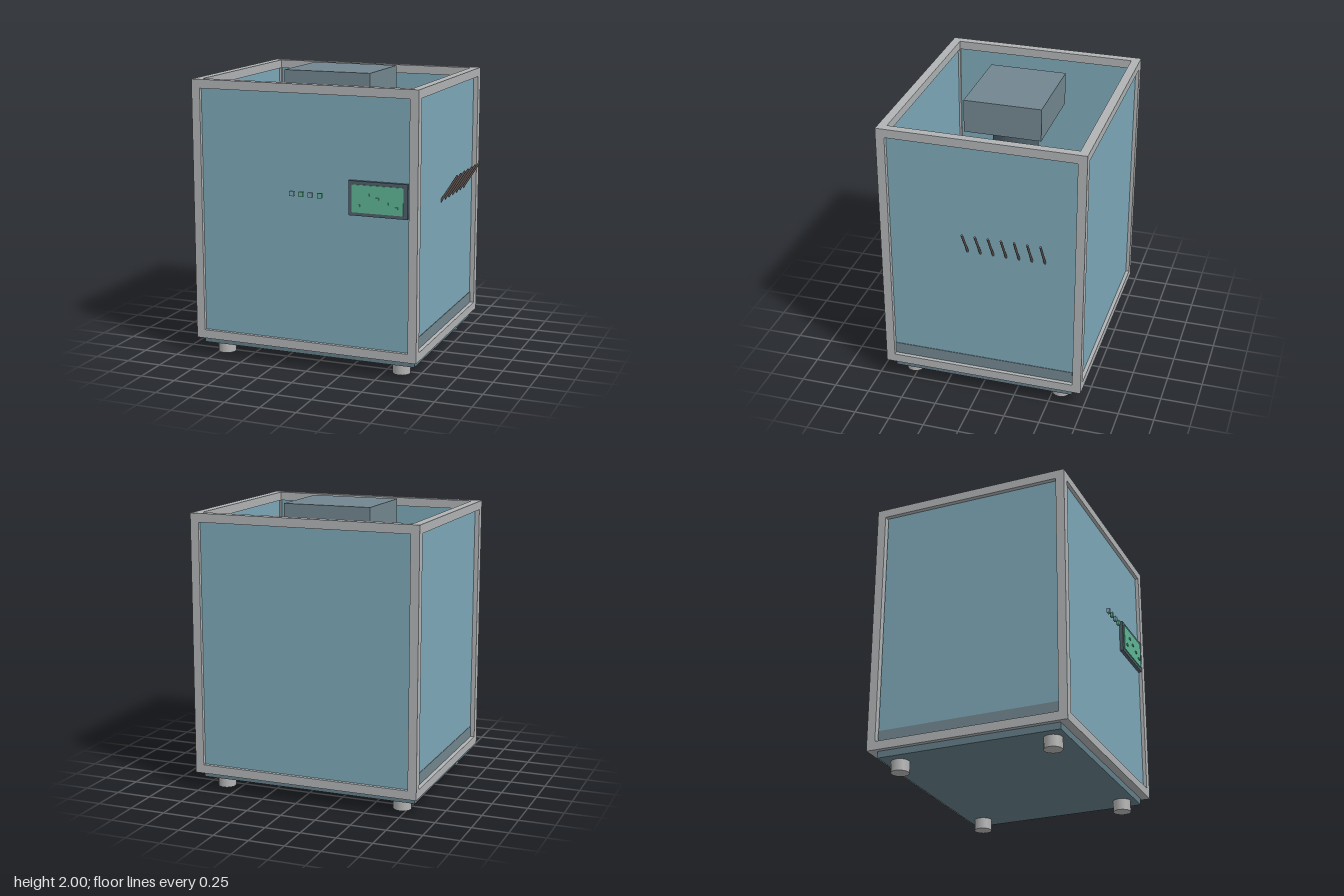
import * as THREE from 'three';

const mat = (name, color) => {
  const m = new THREE.MeshStandardMaterial({ color });
  m.name = name;
  return m;
};

export function createModel() {
  const root = new THREE.Group();
  root.name = 'cabinetMachine';

  const grey = mat('frame grey', 0xb0b3b4);
  const blue = mat('panel blue', 0x7da8b8);
  const slate = mat('base slate', 0x657f8a);
  const dullSlate = mat('housing slate', 0x72868f);
  const dark = mat('dark slate', 0x4f5f69);
  const green = mat('signal green', 0x5fb596);
  const tan = mat('brass tan', 0xc0a468);
  const brown = mat('rod brown', 0x675c58);
  const footGrey = mat('foot grey', 0xb4b4b4);

  const add = (name, geometry, material, x, y, z, parent = root) => {
    const m = new THREE.Mesh(geometry, material);
    m.name = name;
    m.position.set(x, y, z);
    parent.add(m);
    return m;
  };
  // Box given by its limits on each axis
  const box = (name, material, [x0, x1], [y0, y1], [z0, z1], parent = root) =>
    add(name, new THREE.BoxGeometry(x1 - x0, y1 - y0, z1 - z0), material,
      (x0 + x1) / 2, (y0 + y1) / 2, (z0 + z1) / 2, parent);
  const group = (name) => {
    const g = new THREE.Group();
    g.name = name;
    root.add(g);
    return g;
  };

  // Outer frame: twelve square beams
  const X = [-0.863, 0.77], Y = [0.127, 1.962], Z = [-0.733, 0.69], t = 0.061;
  const ends = ([a, b]) => [[a, a + t], [b - t, b]];
  const inner = ([a, b]) => [a + t, b - t];
  const frame = group('frame');
  for (const x of ends(X)) for (const z of ends(Z)) box('framePost', grey, x, Y, z, frame);
  for (const y of ends(Y)) {
    for (const z of ends(Z)) box('frameCrossBeam', grey, inner(X), y, z, frame);
    for (const x of ends(X)) box('frameSideBeam', grey, x, y, inner(Z), frame);
  }

  // Recessed wall panels
  box('frontPanel', blue, [-0.82, 0.727], [0.16, 1.93], [0.645, 0.665]);
  box('backPanel', blue, [-0.82, 0.727], [0.16, 1.93], [-0.708, -0.688]);
  box('rightPanel', blue, [-0.831, -0.815], [0.27, 1.93], [-0.665, 0.635]);
  box('leftPanel', blue, [0.722, 0.738], [0.27, 1.93], [-0.665, 0.635]);

  // Base with side skirts and floor plate
  box('base', slate, [-0.83, 0.738], [0.08, 0.27], [-0.665, 0.63]);
  box('rightSkirt', dullSlate, [-0.834, -0.83], [0.18, 0.27], [-0.665, 0.63]);
  box('leftSkirt', dullSlate, [0.738, 0.742], [0.18, 0.27], [-0.665, 0.63]);
  box('floorPlate', dark, [-0.763, 0.666], [0.27, 0.3], [-0.61, 0.56]);

  // Feet
  const footGeo = new THREE.CylinderGeometry(0.063, 0.063, 0.08, 16);
  for (const x of [-0.708, 0.614]) for (const z of [-0.558, 0.53]) add('foot', footGeo, footGrey, x, 0.04, z);

  // Drum: dark wall, pale lining, disc and ring of pins
  const cx = -0.047, cz = -0.025;
  const tube = (ri, ro, h) => new THREE.LatheGeometry(
    [[ri, 0], [ro, 0], [ro, 0], [ro, h], [ro, h], [ri, h], [ri, h], [ri, 0]]
      .map(([r, y]) => new THREE.Vector2(r, y)), 48);
  add('drumWall', tube(0.36, 0.41, 0.5), dark, cx, 0.3, cz);
  add('drumLining', tube(0.33, 0.36, 0.49), grey, cx, 0.3, cz);
  add('drumDisc', new THREE.CylinderGeometry(0.335, 0.335, 0.4, 48), blue, cx, 0.5, cz);
  const pinGeo = new THREE.CylinderGeometry(0.018, 0.018, 0.06, 12);
  for (let i = 0; i < 14; i++) {
    const a = (i / 14) * Math.PI * 2;
    add('drumPin', pinGeo, green, cx + 0.33 * Math.cos(a), 0.8, cz + 0.33 * Math.sin(a));
  }

  // Upper housing on its neck, with brass side strips
  box('housing', dullSlate, [-0.365, 0.271], [1.768, 2], [-0.296, 0.248]);
  add('neck', new THREE.CylinderGeometry(0.16, 0.16, 1.1, 24), dark, cx, 1.22, cz);
  for (const s of [-1, 1]) {
    const x = cx + s * 0.322;
    box('brassStrip', tan, [x - 0.006, x + 0.006], [0.85, 1.1], [-0.24, 0.19]);
  }

  // Row of terminals along the inside front
  const terminalGeo = new THREE.CylinderGeometry(0.019, 0.019, 0.05, 8);
  for (let i = 0; i < 11; i++) {
    add('terminal', terminalGeo, i % 3 ? green : tan, -0.708 + i * 0.1338, 0.31, 0.55);
  }

  // Front display
  box('displayBezel', dark, [0.285, 0.7], [1.105, 1.34], [0.66, 0.69]);
  box('displayScreen', green, [0.311, 0.672], [1.128, 1.316], [0.69, 0.696]);
  [1.177, 1.253, 1.23, 1.203, 1.177].forEach((y, i) => {
    const x = 0.358 + i * 0.0665;
    box('displayMark', green, [x - 0.012, x + 0.012], [y - 0.007, y + 0.007], [0.696, 0.703]);
  });

  // Front buttons
  [-0.107, -0.041, 0.026, 0.094].forEach((x, i) =>
    box('button', i % 2 ? green : blue, [x - 0.016, x + 0.016], [1.212, 1.245], [0.712, 0.733]));

  // Slanted rods through the left side
  const lo = new THREE.Vector2(0.682, 1.032), hi = new THREE.Vector2(0.852, 1.302);
  const rodGeo = new THREE.CylinderGeometry(0.008, 0.008, lo.distanceTo(hi), 10);
  for (let i = 0; i < 7; i++) {
    const rod = add('sideRod', rodGeo, brown, (lo.x + hi.x) / 2, (lo.y + hi.y) / 2, -0.457 + i * 0.0895);
    rod.rotation.z = -Math.atan2(hi.x - lo.x, hi.y - lo.y);
  }

  return root;
}
